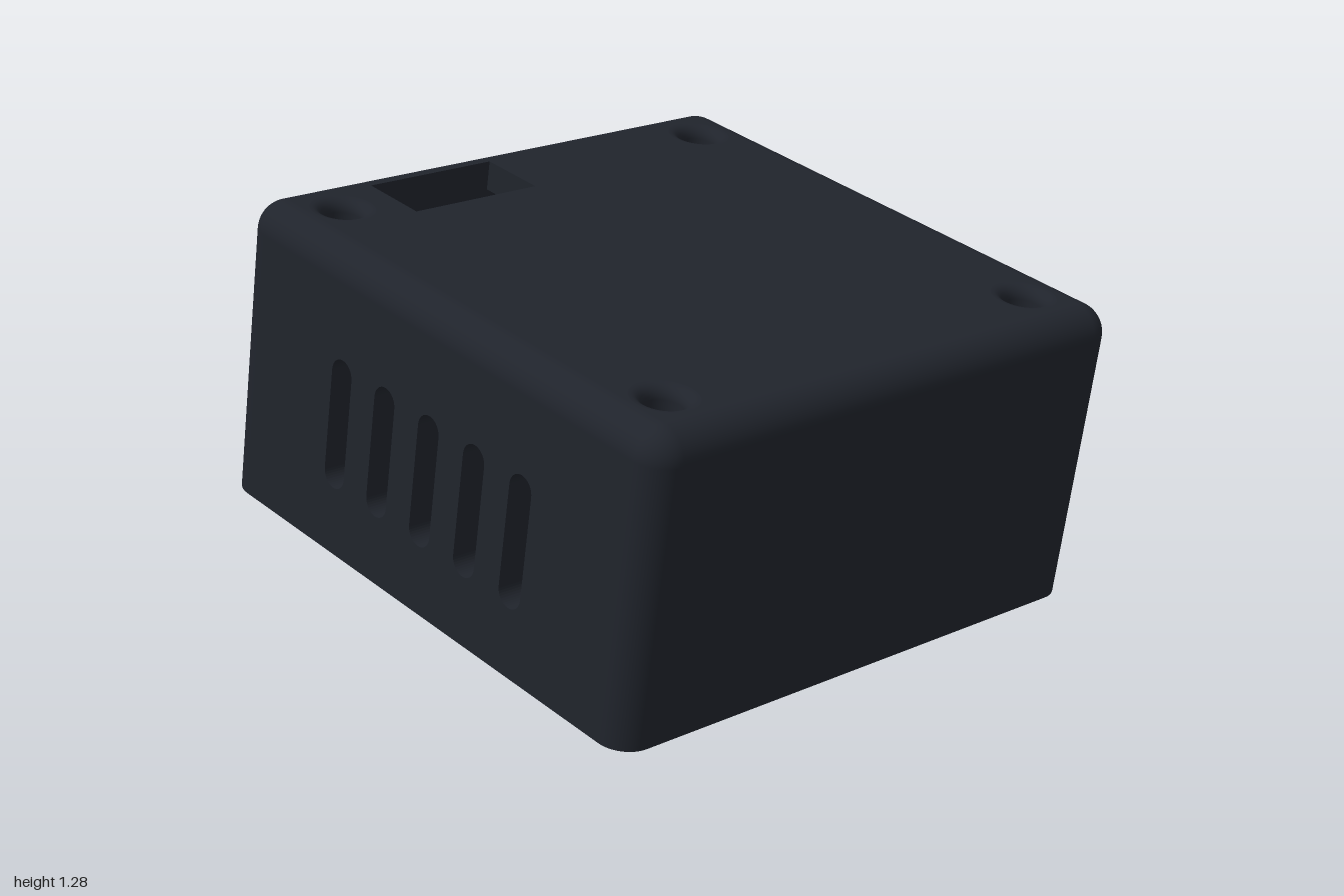
import * as THREE from 'three';

const W = 1.87, D = 1.85, H = 0.965; // outer size of the cover
const T = 0.095;                     // wall thickness and edge radius
const HOLE_R = 0.06, SINK_R = 0.1, SINK_DEPTH = 0.04;

const material = new THREE.MeshStandardMaterial({ color: 0x20242c });
const openMaterial = new THREE.MeshStandardMaterial({ color: 0x20242c, side: THREE.DoubleSide });

function add(parent, name, geometry, x = 0, y = 0, z = 0, mat = material) {
  const mesh = new THREE.Mesh(geometry, mat);
  mesh.name = name;
  mesh.position.set(x, y, z);
  parent.add(mesh);
  return mesh;
}

function rectangle(x0, y0, x1, y1, Type = THREE.Shape) {
  return new Type([[x0, y0], [x1, y0], [x1, y1], [x0, y1]].map(p => new THREE.Vector2(...p)));
}

// Upright slot with round ends
function slot(x, y, width, length) {
  const r = width / 2, h = length / 2 - r;
  const path = new THREE.Path();
  path.absarc(x, y + h, r, 0, Math.PI);
  path.absarc(x, y - h, r, Math.PI, 2 * Math.PI);
  path.closePath();
  return path;
}

// One side: wall plate, rounded top edge and the rounded corner at its end
function createSide(k) {
  const side = new THREE.Group();
  const vented = k % 2 === 0;
  const half = (vented ? W : D) / 2 - T;
  const inner = (vented ? D : W) / 2 - T;
  const top = H - T;
  side.name = ['frontSide', 'leftSide', 'backSide', 'rightSide'][k];
  side.rotation.y = k * Math.PI / 2;

  const plate = rectangle(-half, 0, half, top);
  if (vented) {
    for (let i = -2; i <= 2; i++) plate.holes.push(slot(i * 0.207, 0.425, 0.095, 0.42));
  }
  add(side, vented ? 'ventedWall' : 'plainWall',
    new THREE.ExtrudeGeometry(plate, { depth: T, bevelEnabled: false, curveSegments: 10 }), 0, 0, inner);

  const edge = new THREE.CylinderGeometry(T, T, 2 * half, 12, 1, true, 0, Math.PI / 2);
  add(side, 'roundedTopEdge', edge.rotateZ(Math.PI / 2), 0, top, inner);

  const column = new THREE.CylinderGeometry(T, T, top, 12, 1, false, 0, Math.PI / 2);
  add(side, 'roundedCorner', column, half, top / 2, inner);
  add(side, 'cornerCap',
    new THREE.SphereGeometry(T, 12, 12, Math.PI / 2, Math.PI / 2, 0, Math.PI / 2), half, top, inner);
  return side;
}

// Lid: outer and inner skins joined by the walls of the openings
function createLid() {
  const lid = new THREE.Group();
  lid.name = 'lid';
  const x = W / 2 - T, z = D / 2 - T;
  const port = { x0: -0.832, x1: -0.605, z0: 0.075, z1: 0.54 };
  const screws = [[-1, -1], [1, -1], [1, 1], [-1, 1]].map(([a, b]) => [a * 0.725, b * 0.725]);

  const skin = radius => {
    const shape = rectangle(-x, -z, x, z);
    shape.holes.push(rectangle(port.x0, -port.z1, port.x1, -port.z0, THREE.Path));
    for (const [sx, sz] of screws) {
      shape.holes.push(new THREE.Path().absarc(sx, -sz, radius, 0, 2 * Math.PI));
    }
    return new THREE.ShapeGeometry(shape, 16).rotateX(-Math.PI / 2);
  };
  add(lid, 'lidOuterSkin', skin(SINK_R), 0, H, 0);
  add(lid, 'lidInnerSkin', skin(HOLE_R), 0, H - T, 0, openMaterial);

  // Screw holes with a rounded mouth
  const profile = [new THREE.Vector2(HOLE_R, -T)];
  for (let i = 0; i <= 6; i++) {
    const a = i / 6 * Math.PI / 2;
    profile.push(new THREE.Vector2(
      SINK_R - (SINK_R - HOLE_R) * Math.cos(a), SINK_DEPTH * (Math.sin(a) - 1)));
  }
  for (const [sx, sz] of screws) {
    add(lid, 'screwHole', new THREE.LatheGeometry(profile, 32), sx, H, sz, openMaterial);
  }

  // Walls of the rectangular port
  const w = port.x1 - port.x0, d = port.z1 - port.z0;
  const cx = (port.x0 + port.x1) / 2, cz = (port.z0 + port.z1) / 2;
  for (const s of [-1, 1]) {
    add(lid, 'portEnd', new THREE.PlaneGeometry(w, T), cx, H - T / 2, cz + s * d / 2, openMaterial);
    add(lid, 'portSide', new THREE.PlaneGeometry(d, T).rotateY(Math.PI / 2),
      cx + s * w / 2, H - T / 2, cz, openMaterial);
  }
  return lid;
}

export function createModel() {
  const cover = new THREE.Group();
  cover.name = 'ventedCover';
  for (let k = 0; k < 4; k++) cover.add(createSide(k));
  cover.add(createLid());

  // The cover rests tilted on one lower edge
  cover.rotation.set(0.006, -0.011, -0.178);
  cover.position.set(-0.08, 0.17, -0.003);

  const model = new THREE.Group();
  model.name = 'model';
  model.add(cover);
  return model;
}
